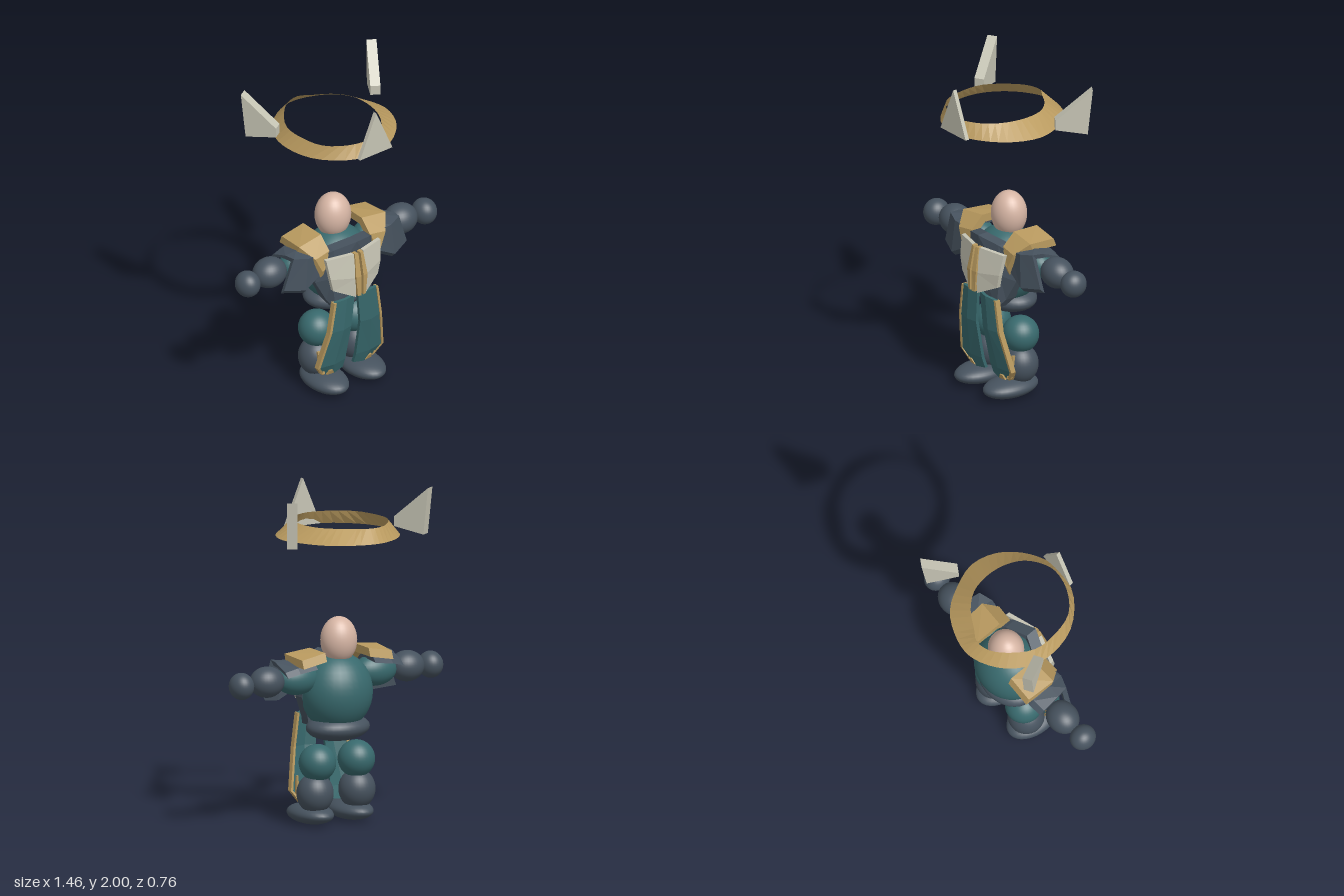
import * as THREE from 'three';

const TEAL = 0x38696d, DARK = 0x46525e, GOLD = 0xb99a5f, CREAM = 0xc6c4b4, SKIN = 0xd6b5a4;

const smooth = (color) => new THREE.MeshStandardMaterial({ color });
const faceted = (color) => new THREE.MeshStandardMaterial({ color, flatShading: true, side: THREE.DoubleSide });

export function createModel() {
  const model = new THREE.Group();

  const add = (name, geometry, material) => {
    const mesh = new THREE.Mesh(geometry, material);
    mesh.name = name;
    model.add(mesh);
    return mesh;
  };

  // Smooth body volume
  const ball = (name, color, [x, y, z], [rx, ry, rz]) => {
    const geometry = new THREE.SphereGeometry(1, 32, 20).scale(rx, ry, rz).translate(x, y, z);
    add(name, geometry, smooth(color));
  };

  // Folded armour plate: rows of points, thickened by an offset, mirrored by side
  const plate = (name, color, side, rows, [ox, oy, oz]) => {
    const loops = rows.map((row) => [...row, ...row.map(([x, y, z]) => [x + ox, y + oy, z + oz]).reverse()]);
    const n = loops[0].length;
    const pos = [];
    const tri = (a, b, c) => {
      for (const p of side > 0 ? [a, b, c] : [a, c, b]) pos.push(p[0] * side, p[1], p[2]);
    };
    const quad = (a, b, c, d) => { tri(a, b, c); tri(a, c, d); };
    for (let r = 0; r + 1 < loops.length; r++) {
      for (let i = 0; i < n; i++) {
        const j = (i + 1) % n;
        quad(loops[r][i], loops[r + 1][i], loops[r + 1][j], loops[r][j]);
      }
    }
    const first = loops[0], last = loops[loops.length - 1];
    for (let i = 0; i + 1 < n / 2; i++) {
      quad(first[i], first[i + 1], first[n - 2 - i], first[n - 1 - i]);
      quad(last[n - 1 - i], last[n - 2 - i], last[i + 1], last[i]);
    }
    const geometry = new THREE.BufferGeometry();
    geometry.setAttribute('position', new THREE.Float32BufferAttribute(pos, 3));
    geometry.computeVertexNormals();
    add(name, geometry, faceted(color));
  };

  // Head and trunk
  ball('head', SKIN, [0, 1.1, -0.04], [0.11, 0.14, 0.105]);
  ball('torso', TEAL, [0, 0.79, -0.015], [0.22, 0.235, 0.2]);
  ball('pelvis', DARK, [0, 0.58, -0.03], [0.2, 0.08, 0.155]);

  for (const s of [1, -1]) {
    const side = s > 0 ? 'left' : 'right';

    // Arms
    ball(side + 'UpperArm', TEAL, [s * 0.27, 0.89, -0.01], [0.14, 0.095, 0.09]);
    ball(side + 'Forearm', DARK, [s * 0.485, 0.893, -0.02], [0.107, 0.092, 0.093]);
    ball(side + 'Hand', DARK, [s * 0.655, 0.883, -0.01], [0.073, 0.08, 0.08]);

    // Legs
    ball(side + 'Thigh', TEAL, [s * 0.135, 0.377, -0.02], [0.11, 0.111, 0.111]);
    ball(side + 'Shin', DARK, [s * 0.145, 0.195, -0.01], [0.11, 0.12, 0.108]);
    ball(side + 'Foot', DARK, [s * 0.137, 0.065, 0.055], [0.117, 0.06, 0.185]);

    // Breastplate half with a central keel
    plate(side + 'Breastplate', DARK, s, [
      [[0, 1.02, 0.19], [0.13, 0.985, 0.14], [0.2, 0.95, 0.1]],
      [[0, 0.82, 0.17], [0.15, 0.8, 0.145], [0.225, 0.77, 0.08]],
      [[0, 0.66, 0.165], [0.13, 0.585, 0.155], [0.165, 0.64, 0.11]],
    ], [0, 0, -0.07]);
    plate(side + 'ChestPanel', CREAM, s, [
      [[0.035, 0.955, 0.205], [0.2, 0.945, 0.155]],
      [[0.035, 0.8, 0.228], [0.185, 0.82, 0.178]],
      [[0.035, 0.67, 0.225], [0.165, 0.735, 0.178]],
    ], [0, 0, -0.025]);
    plate(side + 'ChestStrip', GOLD, s, [
      [[0.008, 0.955, 0.215], [0.03, 0.955, 0.21]],
      [[0.008, 0.81, 0.243], [0.042, 0.81, 0.238]],
      [[0.008, 0.68, 0.243], [0.03, 0.68, 0.238]],
    ], [0, 0, -0.035]);

    // Shoulder armour: dark guard under a gold cap
    plate(side + 'ShoulderGuard', DARK, s, [
      [[0.2, 0.985, -0.1], [0.32, 0.97, -0.1], [0.4, 0.95, -0.09]],
      [[0.2, 1.0, 0.02], [0.32, 1.0, 0.02], [0.4, 0.995, 0.02]],
      [[0.2, 0.97, 0.11], [0.31, 0.985, 0.12], [0.39, 1.0, 0.09]],
      [[0.22, 0.84, 0.12], [0.33, 0.78, 0.13], [0.455, 0.8, 0.08]],
    ], [0, -0.03, -0.03]);
    plate(side + 'ShoulderCap', GOLD, s, [
      [[0.15, 1.05, -0.13], [0.31, 1.02, -0.13]],
      [[0.15, 1.055, 0.04], [0.32, 1.035, 0.05]],
      [[0.15, 0.98, 0.12], [0.26, 0.965, 0.13]],
      [[0.195, 0.88, 0.14], [0.215, 0.87, 0.14]],
    ], [0, -0.05, -0.02]);

    // Long hanging tasset with gold outer trim and hem tab
    const outer = [[0.155, 0.65, 0.18], [0.185, 0.45, 0.175], [0.235, 0.2, 0.125], [0.185, 0.13, 0.1]];
    const inner = [[0.012, 0.66, 0.185], [0.033, 0.45, 0.18], [0.04, 0.2, 0.13], [0.04, 0.13, 0.105]];
    const crease = [[0.08, 0.66, 0.2], [0.1, 0.45, 0.195], [0.13, 0.2, 0.145], [0.11, 0.12, 0.115]];
    plate(side + 'Tasset', TEAL, s, outer.map((p, i) => [inner[i], crease[i], p]), [0, 0, -0.02]);
    plate(side + 'TassetTrim', GOLD, s,
      outer.map(([x, y, z]) => [[x - 0.008, y, z + 0.008], [x + 0.008, y, z + 0.006]]), [0, 0, -0.033]);
    plate(side + 'HemTab', GOLD, s, [
      [[0.135, 0.16, 0.135], [0.155, 0.16, 0.132]],
      [[0.115, 0.127, 0.122], [0.165, 0.127, 0.117]],
    ], [0, 0, -0.02]);
    plate(side + 'ShinTrim', GOLD, s, [
      [[0.2, 0.29, 0.1], [0.215, 0.29, 0.095]],
      [[0.18, 0.14, 0.118], [0.21, 0.15, 0.11]],
    ], [0, 0, -0.015]);
  }

  // Halo: sloping band between an uneven lower rim and a smaller upper rim
  const rim = (points, y) => new THREE.CatmullRomCurve3(
    points.map(([x, z]) => new THREE.Vector3(x, y, z)), true);
  const lower = rim([
    [-0.14, -0.36], [-0.03, -0.385], [0.1, -0.355], [0.22, -0.285], [0.305, -0.155],
    [0.355, 0], [0.315, 0.155], [0.22, 0.27], [0.1, 0.345], [-0.02, 0.372],
    [-0.19, 0.32], [-0.33, 0.175], [-0.375, 0], [-0.355, -0.135], [-0.27, -0.27],
  ], 1.72);
  const upper = rim([
    [-0.14, -0.29], [-0.05, -0.31], [0.02, -0.27], [0.12, -0.21], [0.195, -0.12],
    [0.22, 0], [0.205, 0.12], [0.15, 0.23], [0.06, 0.3], [-0.02, 0.325],
    [-0.15, 0.3], [-0.27, 0.21], [-0.315, 0.06], [-0.31, -0.08], [-0.23, -0.21],
  ], 1.8);
  const steps = 45, band = [], index = [];
  for (let i = 0; i < steps; i++) {
    band.push(lower.getPoint(i / steps), upper.getPoint(i / steps));
    const a = 2 * i, b = 2 * ((i + 1) % steps);
    index.push(a, a + 1, b, b, a + 1, b + 1);
  }
  const halo = new THREE.BufferGeometry().setFromPoints(band);
  halo.setIndex(index);
  halo.computeVertexNormals();
  add('halo', halo, faceted(GOLD));

  // Halo spikes: upright slabs, one in front and two swept back
  const slab = (points, depth) => new THREE.ExtrudeGeometry(
    new THREE.Shape(points.map(([x, y]) => new THREE.Vector2(x, y))),
    { depth, bevelEnabled: false }).translate(0, 0, -depth / 2);
  const front = add('frontSpike', slab([[-0.12, 1.72], [0.12, 1.72], [0, 2]], 0.025), faceted(CREAM));
  front.position.z = 0.362;
  for (const s of [1, -1]) {
    const outline = [[0, 1.755], [0.19, 1.72], [0.22, 2], [0, 1.815]];
    const spike = add(s > 0 ? 'leftSpike' : 'rightSpike', slab(outline, 0.06), faceted(CREAM));
    spike.position.set(s * 0.362, 0, -0.1);
    spike.rotation.y = Math.atan2(0.183, s * 0.113);
  }

  return model;
}
